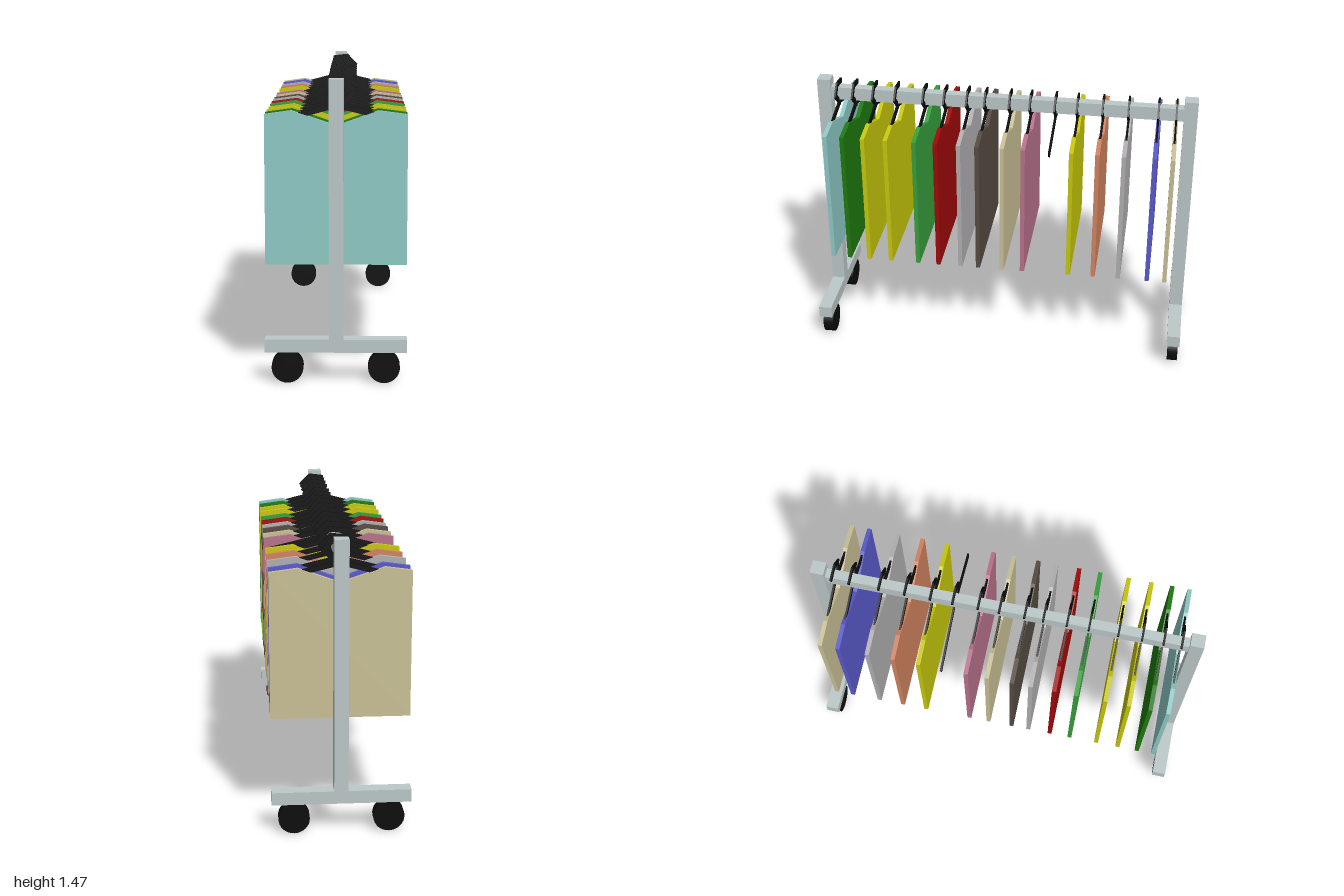
import * as THREE from 'three';

const mat = (color) => new THREE.MeshStandardMaterial({ color });

function addMesh(parent, name, geometry, material, x = 0, y = 0, z = 0) {
  const mesh = new THREE.Mesh(geometry, material);
  mesh.name = name;
  mesh.position.set(x, y, z);
  parent.add(mesh);
  return mesh;
}

// Plate of the given outline, centred on z = 0
function plate(points, depth) {
  const shape = new THREE.Shape(points.map(([x, y]) => new THREE.Vector2(x, y)));
  return new THREE.ExtrudeGeometry(shape, { depth, bevelEnabled: false }).translate(0, 0, -depth / 2);
}

// Flat strip of constant width along a path, with mitred corners
function strip(path, width, depth) {
  const pts = path.map(([x, y]) => new THREE.Vector2(x, y));
  const normal = (a, b) => {
    const d = b.clone().sub(a).normalize();
    return new THREE.Vector2(-d.y, d.x);
  };
  const upper = [], lower = [];
  pts.forEach((p, i) => {
    const n1 = normal(pts[Math.max(i - 1, 0)], pts[Math.max(i, 1)]);
    const last = pts.length - 1;
    const n2 = normal(pts[Math.min(i, last - 1)], pts[Math.min(i + 1, last)]);
    const m = n1.clone().add(n2).normalize();
    m.multiplyScalar(width / 2 / m.dot(n1));
    upper.push([p.x + m.x, p.y + m.y]);
    lower.unshift([p.x - m.x, p.y - m.y]);
  });
  return plate([...upper, ...lower], depth);
}

export function createModel() {
  const root = new THREE.Group();
  root.name = 'clothesRack';
  const metal = mat(0xbcc8c8);
  const black = mat(0x0c0c0c);

  // End frames: post, foot and two wheels each
  const wheelGeo = new THREE.CylinderGeometry(0.077, 0.077, 0.055, 32).rotateX(Math.PI / 2);
  for (const side of [1, -1]) {
    const frame = new THREE.Group();
    frame.name = side > 0 ? 'frontFrame' : 'backFrame';
    frame.position.z = side * 0.965;
    addMesh(frame, 'post', new THREE.BoxGeometry(0.07, 1.253, 0.07), metal, 0, 0.8485);
    addMesh(frame, 'foot', new THREE.BoxGeometry(0.686, 0.065, 0.07), metal, -0.002, 0.1895);
    addMesh(frame, 'leftWheel', wheelGeo, black, 0.231, 0.08);
    addMesh(frame, 'rightWheel', wheelGeo, black, -0.236, 0.08);
    root.add(frame);
  }

  // Top rail
  addMesh(root, 'rail', new THREE.BoxGeometry(0.05, 0.07, 1.86), metal, 0, 1.395, 0);

  // Shared hanger and garment shapes
  const armsGeo = strip([[-0.34, 1.253], [0, 1.342], [0.312, 1.267]], 0.025, 0.01);
  const hookGeo = strip([[0, 1.33], [0.08, 1.405], [0.035, 1.452], [-0.045, 1.442]], 0.025, 0.01);
  const garmentGeo = plate([
    [-0.345, 0.57], [0.34, 0.57], [0.34, 1.3], [0.2, 1.318],
    [0, 1.246], [-0.215, 1.318], [-0.345, 1.3],
  ], 0.022);

  // Hangers along the rail: [z, garment colour], null for the empty one
  const row = [
    [0.892, 0x8ecac6], [0.802, 0x1f7a0f], [0.694, 0xc8c80c], [0.575, 0xc8c80c],
    [0.426, 0x36a03c], [0.315, 0xa00808], [0.195, 0xb2b0b2], [0.1, 0x564c42],
    [-0.029, 0xcac196], [-0.137, 0xba728c], [-0.267, null], [-0.382, 0xc8c80c],
    [-0.514, 0xd28460], [-0.647, 0xb2b0b2], [-0.8, 0x5a5acc], [-0.892, 0xcac196],
  ];
  row.forEach(([z, color], i) => {
    const item = new THREE.Group();
    item.name = `hangingItem${i + 1}`;
    item.position.z = z;
    addMesh(item, 'hangerArms', armsGeo, black);
    addMesh(item, 'hangerHook', hookGeo, black);
    if (color !== null) addMesh(item, 'garment', garmentGeo, mat(color));
    root.add(item);
  });

  return root;
}
